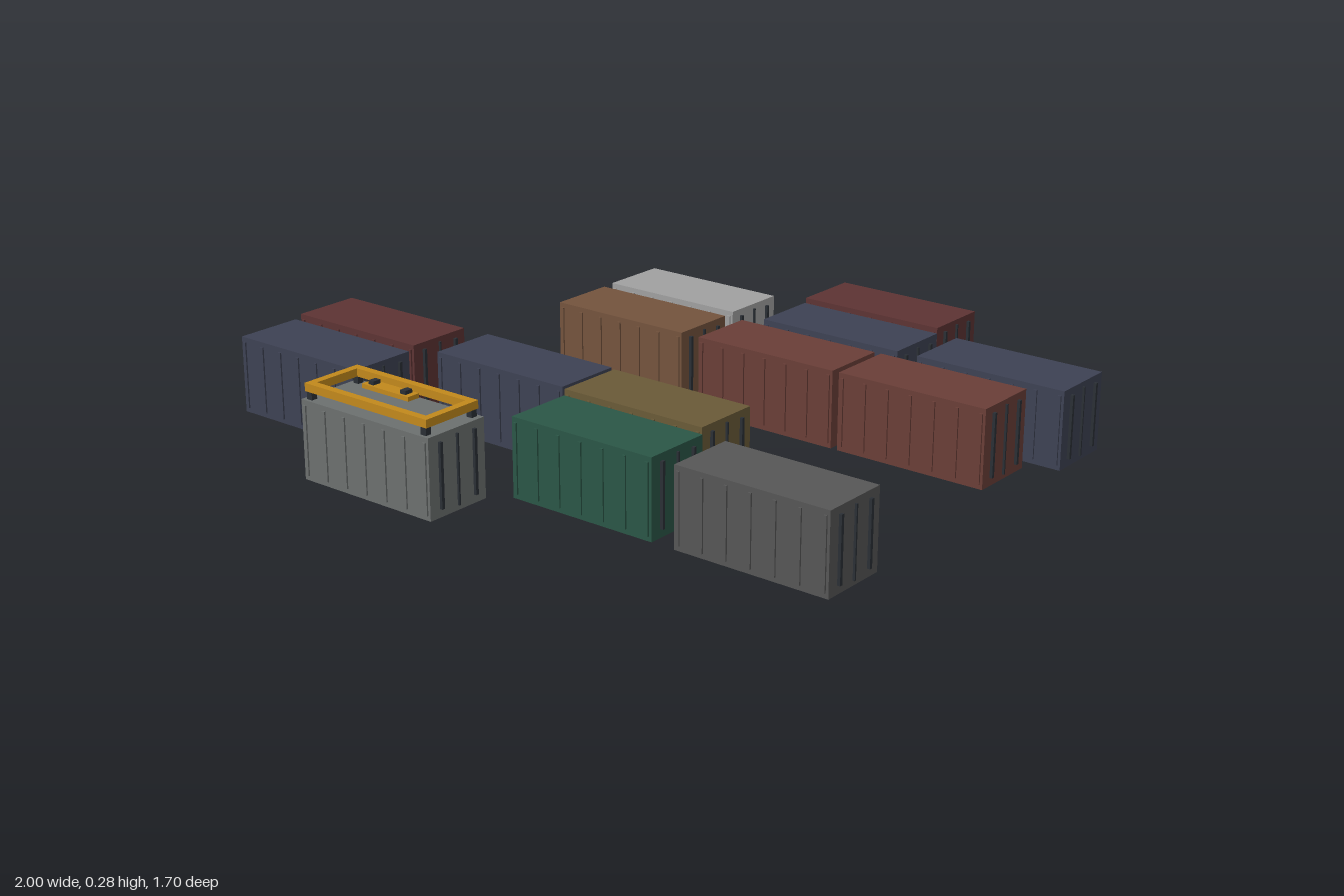
import * as THREE from 'three';

const L = 0.444, H = 0.217, W = 0.196;

const COLORS = {
  darkRed: 0x5e3434, rust: 0x6b3f38, brown: 0x75543e, navy: 0x3e4254, olive: 0x6b5b38,
  green: 0x2b5747, darkGrey: 0x575757, slate: 0x6d7170, lightGrey: 0xa2a2a2,
  steel: 0x2b3036, amber: 0xc48a1c,
};
const materials = {};
for (const key in COLORS) materials[key] = new THREE.MeshStandardMaterial({ color: COLORS[key] });

// Container centres on the ground: x, z, colour
const LAYOUT = [
  [0.237, -0.748, 'darkRed'],
  [-0.290, -0.510, 'lightGrey'], [0.262, -0.511, 'navy'], [0.768, -0.511, 'navy'],
  [-0.285, -0.272, 'brown'], [0.218, -0.272, 'rust'], [0.682, -0.272, 'rust'],
  [-0.778, 0.268, 'darkRed'], [-0.247, 0.266, 'navy'], [0.212, 0.274, 'olive'],
  [-0.753, 0.507, 'navy'], [0.243, 0.507, 'green'], [0.756, 0.507, 'darkGrey'],
  [-0.253, 0.748, 'slate'],
];

function box(parent, name, material, w, h, d, x, y, z) {
  const mesh = new THREE.Mesh(new THREE.BoxGeometry(w, h, d), materials[material]);
  mesh.name = name;
  mesh.position.set(x, y, z);
  parent.add(mesh);
  return mesh;
}

function createContainer(color) {
  const g = new THREE.Group();
  g.name = 'container';
  box(g, 'body', color, L, H, W, 0, H / 2, 0);
  // Upright ribs along both long sides
  for (const side of [-1, 1]) {
    for (let i = -3; i <= 3; i++) {
      box(g, 'sideRib', color, 0.009, 0.19, 0.008, i * 0.07, H / 2, side * (W / 2 + 0.0005));
    }
  }
  // Door seam and locking rods on the +x end
  box(g, 'doorSeam', 'steel', 0.008, 0.19, 0.005, L / 2 + 0.002, H / 2, 0);
  for (const side of [-1, 1]) {
    box(g, 'lockRod', 'steel', 0.012, 0.175, 0.009, L / 2 + 0.002, H / 2 + 0.002, side * 0.06);
  }
  return g;
}

// Lifting frame resting on top of one container
function createSpreader() {
  const g = new THREE.Group();
  g.name = 'liftingFrame';
  const fl = 0.426, fw = 0.182, t = 0.022, y = 0.249;
  for (const s of [-1, 1]) {
    box(g, 'longBeam', 'amber', fl, t, t, 0, y, s * (fw - t) / 2);
    box(g, 'endBeam', 'amber', t, t, fw - 2 * t, s * (fl - t) / 2, y, 0);
    for (const k of [-1, 1]) {
      box(g, 'cornerLock', 'steel', 0.018, 0.022, 0.018, s * 0.2, 0.228, k * 0.08);
    }
    box(g, 'hoistLug', 'steel', 0.018, 0.012, 0.024, s * 0.056, 0.272, 0);
  }
  box(g, 'centreBar', 'amber', 0.162, 0.012, 0.038, 0, 0.262, 0);
  return g;
}

export function createModel() {
  const model = new THREE.Group();
  model.name = 'containerYard';
  for (const [x, z, color] of LAYOUT) {
    const c = createContainer(color);
    c.position.set(x, 0, z);
    model.add(c);
  }
  const spreader = createSpreader();
  spreader.position.set(-0.255, 0, 0.748);
  model.add(spreader);
  return model;
}
